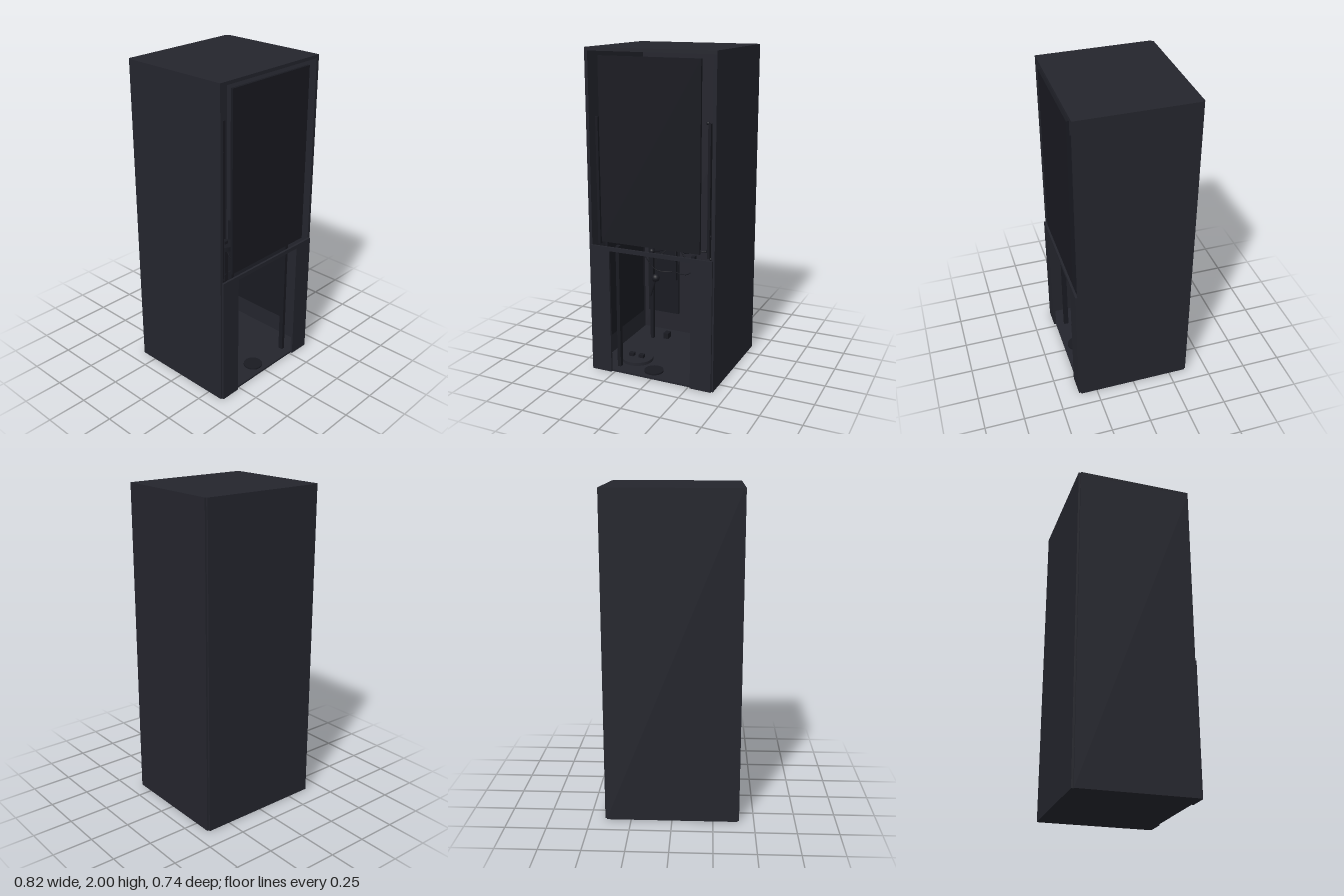
import * as THREE from 'three';

const shellMat = new THREE.MeshStandardMaterial({ color: 0x24252d });
const darkMat = new THREE.MeshStandardMaterial({ color: 0x191a21 });

export function createModel() {
  const model = new THREE.Group();

  const add = (name, geometry, material = shellMat) => {
    const mesh = new THREE.Mesh(geometry, material);
    mesh.name = name;
    model.add(mesh);
    return mesh;
  };
  // Box given by its two extreme corners
  const box = (name, [x0, y0, z0], [x1, y1, z1], material) => {
    const mesh = add(name, new THREE.BoxGeometry(x1 - x0, y1 - y0, z1 - z0), material);
    mesh.position.set((x0 + x1) / 2, (y0 + y1) / 2, (z0 + z1) / 2);
    return mesh;
  };
  const disc = (name, x, y, z, radius, height, material) => {
    const mesh = add(name, new THREE.CylinderGeometry(radius, radius, height, 32), material);
    mesh.position.set(x, y + height / 2, z);
    return mesh;
  };
  const ball = (name, x, y, z, radius) =>
    add(name, new THREE.SphereGeometry(radius, 16, 10), darkMat).position.set(x, y, z);
  const tube = (name, points, radius) => {
    const curve = new THREE.CatmullRomCurve3(points.map(p => new THREE.Vector3(...p)));
    return add(name, new THREE.TubeGeometry(curve, 16, radius, 6), darkMat);
  };

  // Cabinet shell
  box('topPanel', [-0.41, 1.98, -0.357], [0.41, 2, 0.355]);
  box('floorPanel', [-0.39, 0, -0.357], [0.39, 0.012, 0.355]);
  box('backPanel', [-0.4, 0, -0.369], [0.4, 2, -0.355]);
  for (const s of [-1, 1]) {
    const wall = box('sidePanel', [-0.01, 0, -0.357], [0.01, 1.98, 0.355]);
    wall.position.x = s * 0.4;
  }

  // Lower front fascia: an arch with an opening down to the floor
  const arch = new THREE.Shape([
    [-0.4, 0], [-0.27, 0], [-0.27, 0.795], [0.265, 0.795],
    [0.265, 0], [0.4, 0], [0.4, 0.82], [-0.4, 0.82],
  ].map(p => new THREE.Vector2(...p)));
  add('lowerFascia', new THREE.ExtrudeGeometry(arch, { depth: 0.014, bevelEnabled: false }))
    .position.z = 0.353;

  // Upper door panel standing in the open front
  box('doorPanel', [-0.32, 0.85, 0.345], [0.32, 1.955, 0.361], darkMat);

  // Mirrored interior fittings
  for (const s of [-1, 1]) {
    const place = (name, x, w, y0, y1, z0, z1, mat) => {
      box(name, [-w / 2, y0, z0], [w / 2, y1, z1], mat).position.x = s * x;
    };
    place('rearLiner', 0.235, 0.23, 0.15, 1.455, -0.345, -0.33, darkMat);
    place('sideLiner', 0.38, 0.012, 0.15, 1.455, -0.3, 0.2, darkMat);
    place('frontPost', 0.25, 0.022, 0.012, 0.81, 0.27, 0.3, darkMat);
    place('rearPost', 0.25, 0.022, 0.012, 0.81, -0.2, -0.175, darkMat);
    place('doorRail', 0.358, 0.016, 0.82, 1.6, 0.3, 0.325, darkMat);
    place('floorBracket', 0.16, 0.035, 0.012, 0.05, -0.25, -0.2, darkMat);
  }

  // Turntables and knobs on the floor
  disc('largeFloorDisc', -0.19, 0.012, 0.16, 0.1, 0.02, shellMat);
  for (const x of [-0.23, -0.16])
    box('discBlock', [x - 0.016, 0.032, 0.145], [x + 0.016, 0.052, 0.175], darkMat);
  disc('smallFloorDisc', -0.02, 0.012, 0.27, 0.06, 0.01, darkMat);

  // Hanging bar, hub and radiating cables
  box('hangingBar', [-0.013, 0.53, -0.013], [0.013, 0.82, 0.013], darkMat);
  disc('hangingHub', 0, 0.77, 0, 0.06, 0.03, darkMat);
  const ends = 8;
  for (let i = 0; i < ends; i++) {
    const a = ((i + 0.5) / ends) * Math.PI * 2;
    const x = Math.cos(a) * 0.22, z = Math.sin(a) * 0.17;
    const y = 0.7 + (i % 3) * 0.03;
    tube('cable', [[0, 0.79, 0], [x / 2, y - 0.01, z / 2], [x, y, z]], 0.004);
    ball('cableJoint', x, y, z, 0.016);
  }
  for (const s of [-1, 1]) {
    tube('looseCable', [[s * 0.2, 0.7, 0.05], [s * 0.11, 0.6, 0.05], [s * 0.01, 0.59, 0.02]], 0.003);
  }

  // Lever with a round pivot
  ball('leverPivot', -0.135, 0.525, 0, 0.026);
  tube('lever', [[-0.135, 0.525, 0], [-0.155, 0.46, 0], [-0.175, 0.395, 0]], 0.008);

  // Small studs on the inner walls
  for (const [x, y, z] of [
    [-0.335, 1.88, -0.34], [-0.335, 1.66, -0.34], [-0.33, 1.63, -0.34], [0.34, 1.6, 0.3],
    [0.1, 0.22, -0.34], [0.11, 0.58, -0.34], [0.2, 0.37, -0.32], [0.36, 1.05, 0.31], [0.36, 0.95, 0.31],
  ]) ball('stud', x, y, z, 0.011);

  return model;
}
